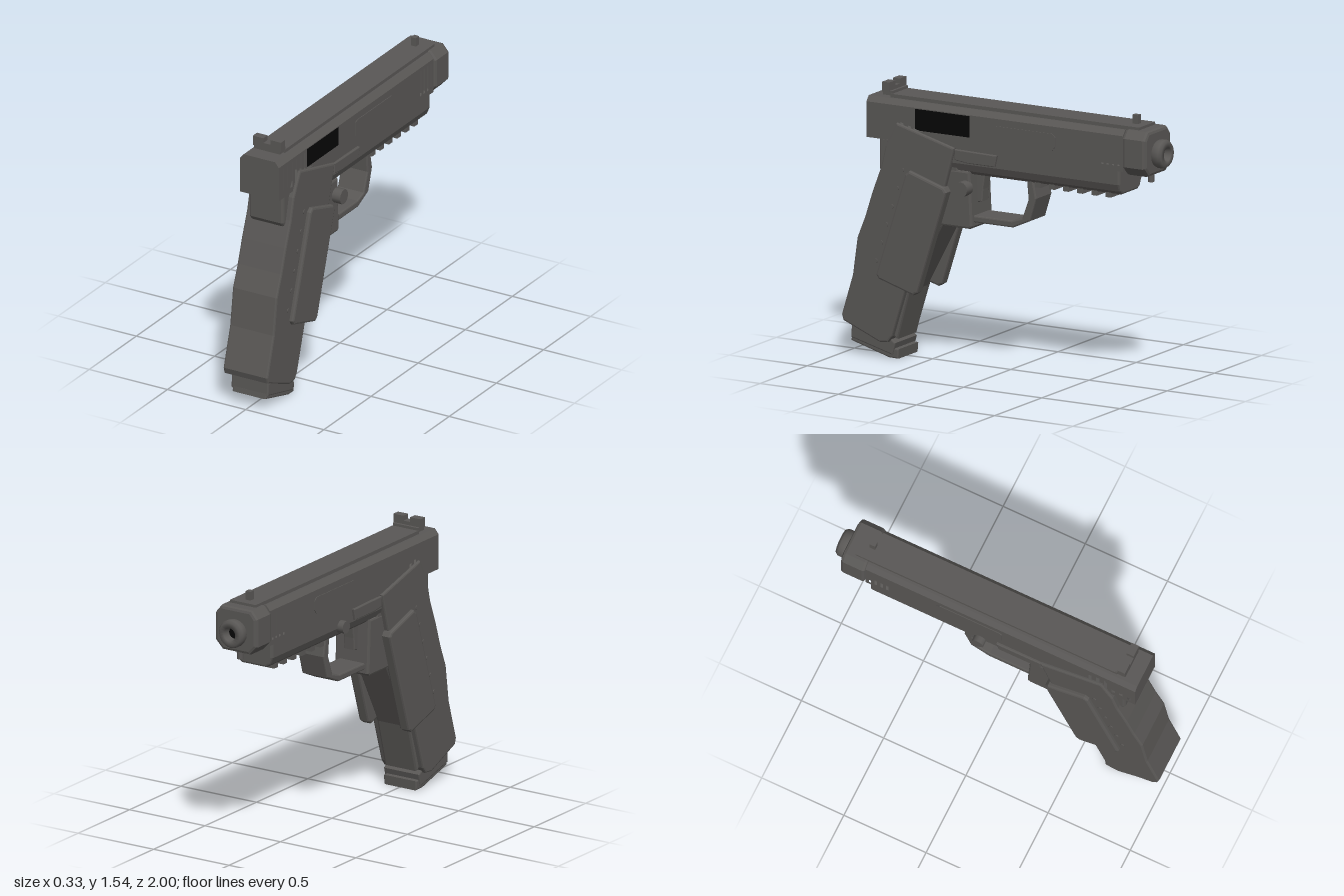
import * as THREE from 'three';

const paint = (name, color) => {
  const m = new THREE.MeshStandardMaterial({ color });
  m.name = name;
  return m;
};

export function createModel() {
  const group = new THREE.Group();
  const gunmetal = paint('gunmetal', 0x595755);
  const black = paint('black', 0x060606);

  const add = (name, geo, mat = gunmetal) => {
    const mesh = new THREE.Mesh(geo, mat);
    mesh.name = name;
    group.add(mesh);
    return mesh;
  };
  const extrude = (shape, depth, bevel) => new THREE.ExtrudeGeometry(shape, {
    depth: depth - 2 * bevel, bevelEnabled: bevel > 0, bevelThickness: bevel,
    bevelSize: bevel, bevelOffset: -bevel, bevelSegments: 2, curveSegments: 6,
  }).translate(0, 0, bevel);
  const polygon = (pts) => new THREE.Shape(pts.map(([a, b]) => new THREE.Vector2(a, b)));
  // outline in (z, y), extruded across the width from x0 to x1
  const profile = (pts, x0, x1, bevel = 0, holes = []) => {
    const shape = polygon(pts.map(([z, y]) => [-z, y]));
    shape.holes = holes.map((h) => polygon(h.map(([z, y]) => [-z, y])));
    return extrude(shape, x1 - x0, bevel).rotateY(Math.PI / 2).translate(x0, 0, 0);
  };
  // cross-section in (x, y), given for the +x half, extruded from z0 to z1
  const section = (half, z0, z1, bevel = 0) =>
    extrude(polygon([...half, ...half.map(([x, y]) => [-x, y]).reverse()]), z1 - z0, bevel)
      .translate(0, 0, z0);
  const rect = (z0, z1, y0, y1) => [[z0, y0], [z1, y0], [z1, y1], [z0, y1]];
  const box = (x0, x1, y0, y1, z0, z1) => new THREE.BoxGeometry(x1 - x0, y1 - y0, z1 - z0)
    .translate((x0 + x1) / 2, (y0 + y1) / 2, (z0 + z1) / 2);
  // pin across the width
  const pin = (r, x0, x1, y, z, sides = 12) => new THREE.CylinderGeometry(r, r, x1 - x0, sides)
    .rotateZ(Math.PI / 2).translate((x0 + x1) / 2, y, z);

  // Slide: core with chamfered top, side plates pierced by grip slots and the port
  add('slideCore', section([[0.105, 1.23], [0.105, 1.43], [0.125, 1.43], [0.1, 1.46]], -0.79, 0.85));
  const slots = [];
  for (let i = 0; i < 6; i++) slots.push(rect(0.8 - i * 0.047, 0.82 - i * 0.047, 1.26, 1.41));
  for (let i = 0; i < 4; i++) slots.push(rect(-0.665 - i * 0.035, -0.65 - i * 0.035, 1.26, 1.41));
  const port = rect(0.19, 0.55, 1.3, 1.425);
  for (const side of [1, -1]) {
    const holes = side > 0 ? [...slots.filter((s) => s[0][0] > 0.56 || s[0][0] < 0), port] : slots;
    const [x0, x1] = side > 0 ? [0.105, 0.125] : [-0.125, -0.105];
    add('slideSide', profile(rect(-0.79, 0.85, 1.23, 1.43), x0, x1, 0, holes));
    add('slideInlay', profile(
      [[0.04, 1.3], [0.04, 1.38], [0.02, 1.39], [-0.34, 1.39], [-0.36, 1.37], [-0.36, 1.32], [-0.34, 1.295]],
      side > 0 ? 0.124 : -0.129, side > 0 ? 0.129 : -0.124));
  }
  add('ejectionPort', box(0.104, 0.108, 1.3, 1.425, 0.19, 0.55), black);
  add('topRib', box(-0.085, 0.085, 1.455, 1.48, -0.87, 0.72));

  // Muzzle block, barrel and guide rod
  add('muzzleBlock', section(
    [[0.09, 1.21], [0.138, 1.26], [0.138, 1.42], [0.1, 1.465]], -0.94, -0.79, 0.018));
  const barrel = [[0.07, 0.93], [0.08, 0.955], [0.08, 0.985], [0.068, 1], [0.038, 1], [0.032, 0.95]]
    .map(([r, z]) => new THREE.Vector2(r, z));
  const barrelGeo = new THREE.LatheGeometry(barrel, 20).rotateX(-Math.PI / 2).translate(0, 1.328, 0);
  add('barrel', barrelGeo);
  add('bore', new THREE.CircleGeometry(0.036, 16).rotateY(Math.PI).translate(0, 1.328, -0.955), black);
  add('guideRodStud', new THREE.CylinderGeometry(0.018, 0.018, 0.06, 10).translate(0, 1.193, -0.895));

  // Sights
  add('frontSight', box(-0.016, 0.016, 1.475, 1.53, -0.82, -0.785));
  add('rearSightBase', box(-0.083, 0.083, 1.47, 1.495, 0.71, 0.77));
  add('rearSight', section([[0.09, 1.488], [0.09, 1.543], [0.022, 1.543], [0.022, 1.515]], 0.725, 0.77));

  // Frame: dust cover, accessory rail, inner grip core with tang
  add('dustCover', section(
    [[0.08, 1.09], [0.105, 1.11], [0.122, 1.15], [0.122, 1.25], [0.11, 1.262]], -0.765, 0.35, 0.012));
  for (let i = 0; i < 6; i++) {
    const z = -0.222 - i * 0.09;
    add('railTooth', box(-0.085, 0.085, 1.065, 1.1, z - 0.018, z + 0.018));
  }
  add('gripCore', profile(
    [[0.78, 1.24], [0.78, 1.06], [0.74, 1.0], [0.8, 0.8], [0.88, 0.2], [0.665, 0.11],
      [0.59, 0.385], [0.37, 0.8], [0.27, 1.1], [0.27, 1.24]], -0.11, 0.11, 0.015));
  add('triggerBlock', profile(
    [[0.45, 0.785], [0.2, 0.785], [0.185, 0.8], [0.2, 1.11], [0.45, 1.11]], -0.112, 0.112, 0.012));

  // Trigger and its guard
  add('triggerGuard', profile(
    [[0.22, 0.82], [-0.06, 0.82], [-0.17, 0.87], [-0.21, 1.0], [-0.19, 1.1], [-0.15, 1.1],
      [-0.16, 0.99], [-0.12, 0.88], [-0.055, 0.858], [0.22, 0.858]], -0.085, 0.085, 0.008));
  add('trigger', profile(
    [[0.21, 1.1], [0.145, 1.1], [0.16, 1.0], [0.165, 0.93], [0.21, 0.92]], -0.035, 0.035, 0.006));

  // Grip shell that rises beside the slide
  add('gripShell', profile(
    [[0.65, 1.335], [0.28, 1.235], [0.345, 1.0], [0.6, 0.385], [0.68, 0.13], [0.705, 0.095],
      [0.76, 0.09], [0.99, 0.185], [1.0, 0.22], [0.93, 0.45], [0.9, 0.665], [0.85, 0.79],
      [0.805, 0.93], [0.75, 1.075], [0.72, 1.2]], -0.142, 0.142, 0.01));

  // Side panels, studs and levers on both sides
  for (const side of [1, -1]) {
    const across = (a, b) => (side > 0 ? [a, b] : [-b, -a]);
    add('gripPanel', profile(
      [[0.58, 1.06], [0.555, 1.08], [0.335, 1.01], [0.318, 0.985], [0.505, 0.4], [0.53, 0.383],
        [0.75, 0.45], [0.767, 0.475]], ...across(0.1, 0.167), 0.012));
    for (let i = 0; i < 6; i++) {
      add('gripStud', pin(0.013, ...across(0.13, 0.147), 1.075 - i * 0.106, 0.61 + i * 0.034, 8));
    }
    add('slideStop', profile(
      [[0.28, 1.17], [0.28, 1.23], [0.01, 1.225], [0.025, 1.16], [0.2, 1.16]], ...across(0.11, 0.138), 0.005));
  }
  add('triggerPin', pin(0.043, 0.1, 0.165, 1.015, 0.225));
  add('takedownButton', pin(0.036, -0.158, -0.1, 1.155, -0.095));

  // Magazine floor plate
  add('magazineCollar', profile(
    [[0.95, 0.165], [0.955, 0.09], [0.69, 0.02], [0.67, 0.09], [0.72, 0.13]], -0.118, 0.118, 0.008));
  add('magazineBase', profile(
    [[0.955, 0.1], [0.96, 0.07], [0.72, 0.002], [0.66, 0.0], [0.655, 0.055], [0.7, 0.06]],
    -0.108, 0.108, 0.008));

  group.children.forEach((m) => { m.position.x = -0.003; });
  return group;
}
